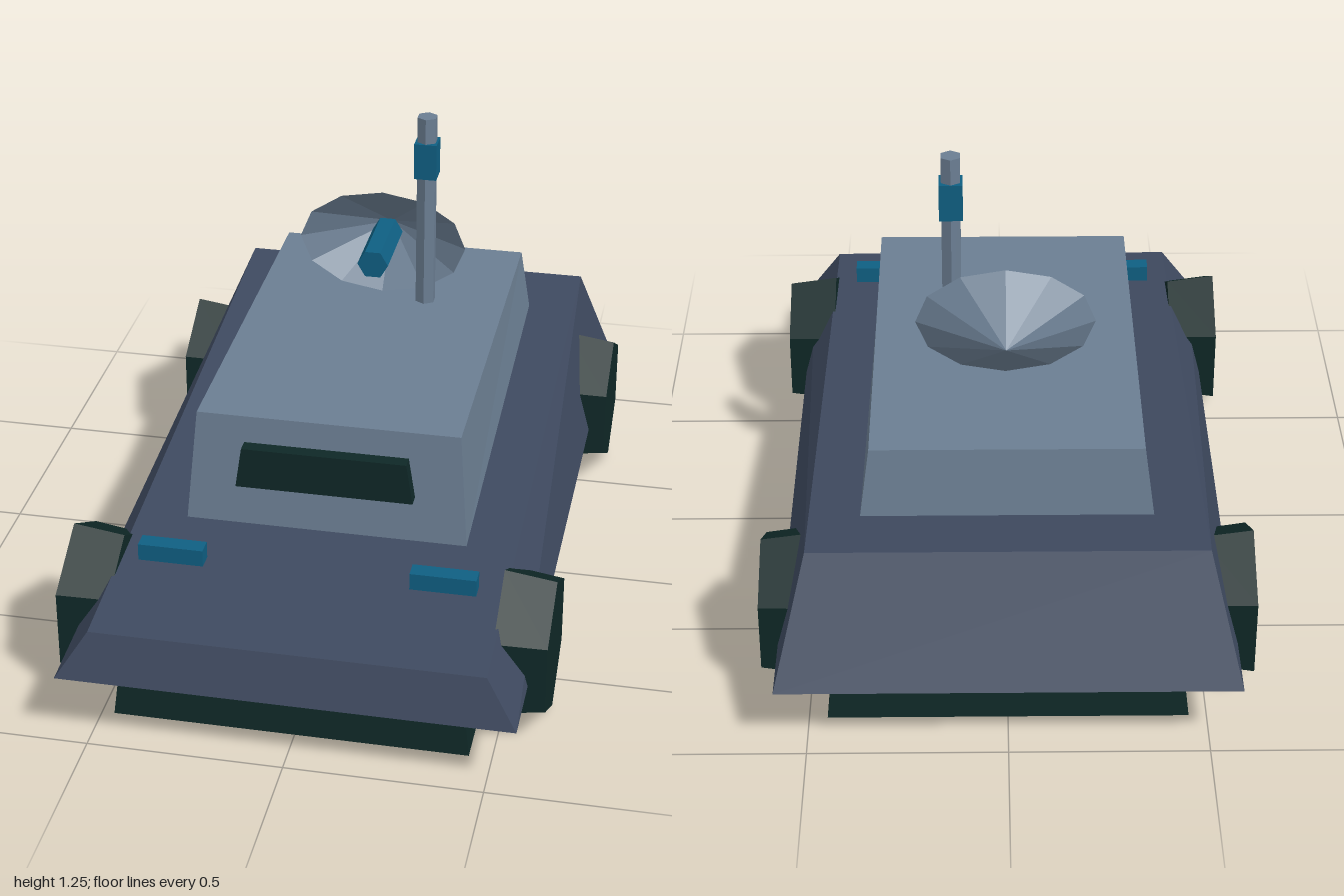
import * as THREE from 'three';

const mat = (name, color) =>
  new THREE.MeshStandardMaterial({ name, color, flatShading: true, side: THREE.DoubleSide });

// Four corners at half width x, from rear to front, each end with its own height
const ring = (x, front, yFront, rear, yRear) => [
  [x, yFront, front], [-x, yFront, front], [-x, yRear, rear], [x, yRear, rear],
];

// Tapered shell open at the bottom, closed at the top
function shell(bottom, top) {
  const tris = [];
  const quad = (a, b, c, d) => tris.push(a, b, c, a, c, d);
  for (let i = 0; i < 4; i++) {
    const j = (i + 1) % 4;
    if (i === 1) quad(bottom[i], top[i], top[j], bottom[j]);
    else quad(bottom[j], bottom[i], top[i], top[j]);
  }
  // keep the right side mirrored to the left, wound outwards
  for (let t = 6; t < 12; t += 3) [tris[t + 1], tris[t + 2]] = [tris[t + 2], tris[t + 1]];
  quad(top[3], top[2], top[1], top[0]);
  const g = new THREE.BufferGeometry();
  g.setAttribute('position', new THREE.Float32BufferAttribute(tris.flat(), 3));
  g.computeVertexNormals();
  return g;
}

export function createModel() {
  const root = new THREE.Group();
  const hullBlue = mat('hull slate blue', 0x3e495f);
  const cabinGrey = mat('cabin blue grey', 0x6b7e92);
  const dark = mat('dark green', 0x0f2827);
  const teal = mat('teal', 0x0f5f82);

  const add = (name, geometry, material, x = 0, y = 0, z = 0) => {
    const mesh = new THREE.Mesh(geometry, material);
    mesh.name = name;
    mesh.position.set(x, y, z);
    root.add(mesh);
    return mesh;
  };

  // Body shells
  add('hull', shell(ring(0.575, 1, 0.193, -1, 0.193), ring(0.495, 0.96, 0.315, -0.84, 0.5)), hullBlue);
  add('chassis', shell(ring(0.45, 0.92, 0.048, -0.915, 0.048), ring(0.42, 0.9, 0.3, -0.89, 0.3)), dark);
  add('cabin', shell(ring(0.367, 0.475, 0.36, -0.662, 0.478), ring(0.342, 0.44, 0.662, -0.637, 0.662)), cabinGrey);

  // Windscreen, narrower at the top
  const pane = new THREE.Shape([
    new THREE.Vector2(-0.23, 0.488), new THREE.Vector2(0.23, 0.488),
    new THREE.Vector2(0.213, 0.6), new THREE.Vector2(-0.213, 0.6),
  ]);
  add('windscreen', new THREE.ExtrudeGeometry(pane, { depth: 0.036, bevelEnabled: false }), dark, 0, 0, 0.463);

  // Six-sided wheels, slightly tapered
  const wheel = new THREE.CylinderGeometry(0.205, 0.186, 0.132, 6).rotateY(Math.PI / 6).rotateZ(Math.PI / 2);
  for (const side of [-1, 1]) {
    for (const [end, z] of [['front', 0.64], ['rear', -0.64]]) {
      add(`${end}${side > 0 ? 'Left' : 'Right'}Wheel`, wheel, dark, side * 0.554, 0.21, z);
    }
    add(side > 0 ? 'leftHeadlamp' : 'rightHeadlamp',
      new THREE.BoxGeometry(0.167, 0.045, 0.045), teal, side * 0.346, 0.403, 0.697);
  }

  // Mast with its block
  add('mast', new THREE.CylinderGeometry(0.028, 0.028, 0.54, 6), cabinGrey, 0.137, 0.98, -0.2);
  add('mastBlock', new THREE.BoxGeometry(0.06, 0.1, 0.06), teal, 0.137, 1.13, -0.2);

  // Oval dish with its open side forwards, and the feed horn
  const dish = new THREE.ConeGeometry(0.23, 0.142, 12, 1, true).rotateX(-Math.PI / 2).scale(1, 0.65, 1);
  add('dish', dish, cabinGrey, 0, 0.825, -0.366);
  const horn = new THREE.CylinderGeometry(0.042, 0.042, 0.22, 6).rotateY(Math.PI / 6).rotateX(Math.PI / 2);
  add('feedHorn', horn, teal, 0, 0.825, -0.262);

  return root;
}
